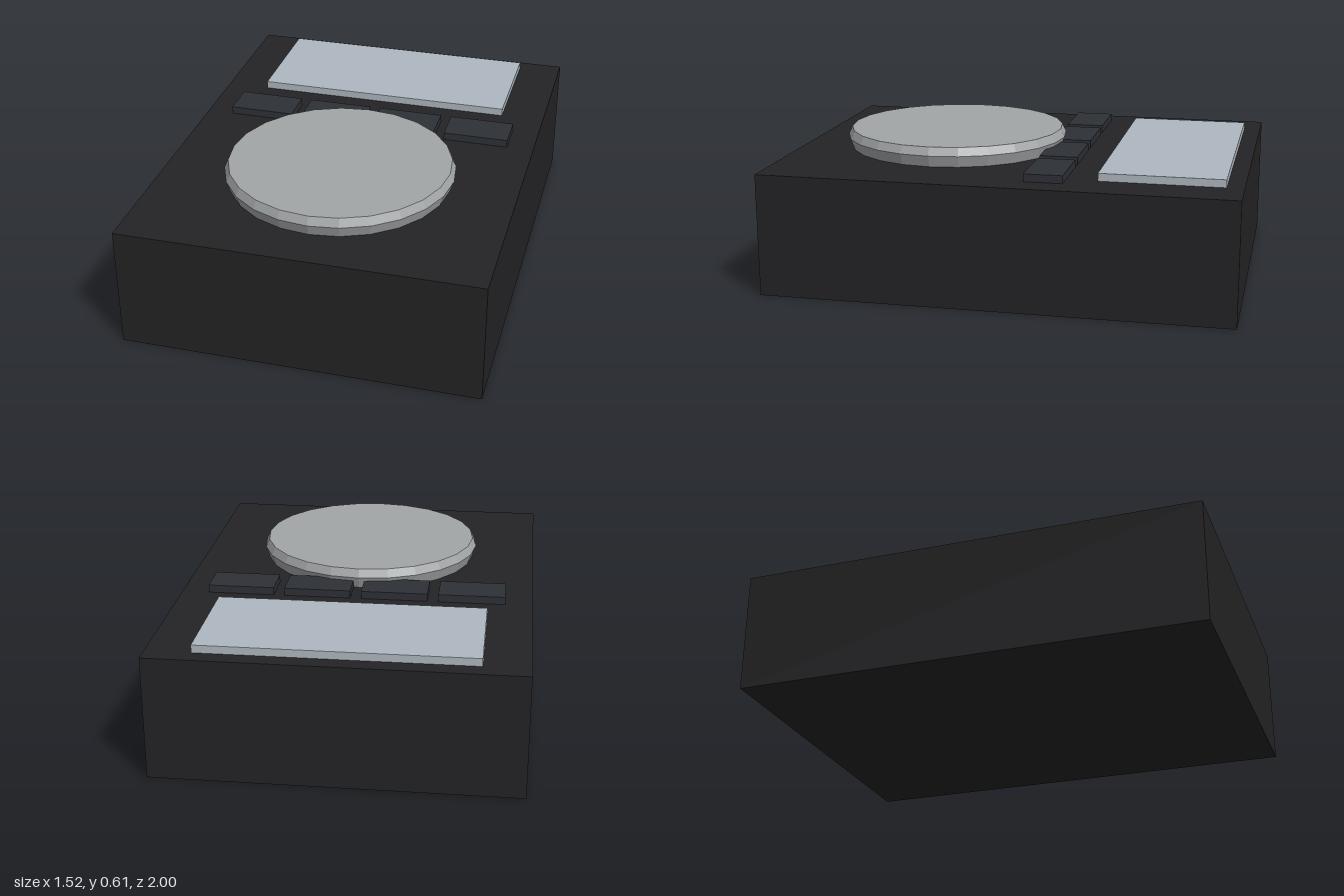
import * as THREE from 'three';

const BODY = { w: 1.52, h: 0.525, d: 2 };
const material = (color) => new THREE.MeshStandardMaterial({ color, flatShading: true });

// Box resting with its underside at yBottom
function box(name, w, h, d, x, yBottom, z, mat) {
  const mesh = new THREE.Mesh(new THREE.BoxGeometry(w, h, d), mat);
  mesh.name = name;
  mesh.position.set(x, yBottom + h / 2, z);
  return mesh;
}

export function createModel() {
  const model = new THREE.Group();
  model.name = 'portablePlayer';

  // Solid case
  model.add(box('body', BODY.w, BODY.h, BODY.d, 0, 0, 0, material(0x232325)));

  // Raised display at the back
  model.add(box('screen', 1.14, 0.033, 0.52, 0, BODY.h, -0.667, material(0xaeb8c0)));

  // Row of four buttons
  const buttons = new THREE.Group();
  buttons.name = 'buttons';
  const buttonMat = material(0x2d3036);
  for (let i = 0; i < 4; i++) {
    buttons.add(box('button', 0.286, 0.033, 0.164, (i - 1.5) * 0.333, BODY.h, -0.194, buttonMat));
  }
  model.add(buttons);

  // Faceted control wheel with bevelled rim
  const profile = [[0, 0], [0.475, 0], [0.493, 0.05], [0.476, 0.086], [0, 0.086]]
    .map(([r, y]) => new THREE.Vector2(r, y));
  const wheel = new THREE.Mesh(new THREE.LatheGeometry(profile, 24), material(0xa2a5a7));
  wheel.name = 'controlWheel';
  wheel.position.set(0, BODY.h, 0.331);
  model.add(wheel);

  return model;
}
